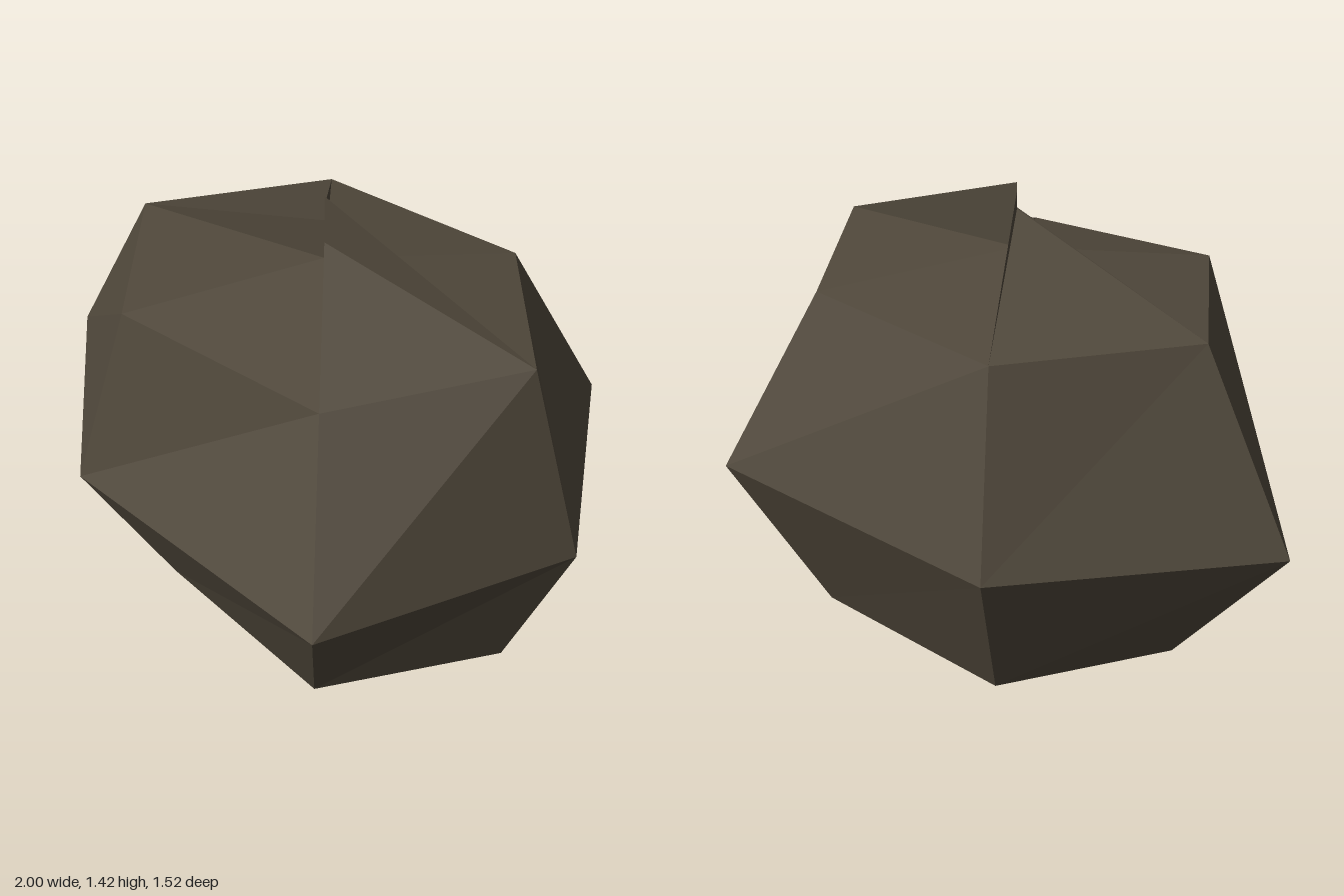
import * as THREE from 'three';

// Six-sided cross-sections, listed from -x round through +z, +x and -z
const UPPER = [[-0.67, 1.13, 0], [-0.3, 1.125, 0.5], [0.4, 1.07, 0.46], [0.805, 1.138, 0], [0.42, 1.12, -0.5], [-0.3, 1.124, -0.505]];
const MIDDLE = [[-1, 0.545, 0], [-0.4, 0.545, 0.64], [0.61, 0.545, 0.757], [1, 0.545, 0], [0.61, 0.545, -0.76], [-0.435, 0.545, -0.69]];
const LOWER = [[-0.6, 0.015, 0], [-0.24, 0.063, 0.41], [0.41, 0, 0.49], [0.785, 0, 0], [0.425, 0, -0.525], [-0.295, 0, -0.49]];

// Each wedge of the broken crown meets the axis at its own height
const AXIS_X = 0.06;
const CROWN = [1.21, 1.21, 1.264, 1.21, 1.21, 1.335];
const peak = (y) => [AXIS_X, y, 0];

// Upright break faces: [corner index, low end, high end] on the axis
const BREAKS = [[0, 1.21, 1.34], [2, 1.21, 1.264], [3, 1.21, 1.42], [5, 1.21, 1.39]];

function meshFrom(name, triangles, material) {
  const geometry = new THREE.BufferGeometry();
  geometry.setAttribute('position', new THREE.Float32BufferAttribute(triangles.flat(2), 3));
  geometry.computeVertexNormals();
  const mesh = new THREE.Mesh(geometry, material);
  mesh.name = name;
  return mesh;
}

// Facets between two neighbouring cross-sections
function band(top, bottom) {
  return top.flatMap((corner, i) => {
    const n = (i + 1) % top.length;
    return [[top[n], corner, bottom[i]], [top[n], bottom[i], bottom[n]]];
  });
}

export function createModel() {
  const stone = new THREE.MeshStandardMaterial({ color: 0x50483b, flatShading: true, side: THREE.DoubleSide });
  stone.name = 'dark brown stone';

  const rock = new THREE.Group();
  rock.name = 'rock';

  // Sides
  rock.add(meshFrom('upperSides', band(UPPER, MIDDLE), stone));
  rock.add(meshFrom('lowerSides', band(MIDDLE, LOWER), stone));

  // Underside
  const base = LOWER.map((p, i) => [peak(0.005), LOWER[(i + 1) % 6], p]);
  rock.add(meshFrom('underside', base, stone));

  // Stepped crown wedges
  const wedges = UPPER.map((p, i) => [peak(CROWN[i]), p, UPPER[(i + 1) % 6]]);
  rock.add(meshFrom('crownWedges', wedges, stone));

  // Thin upright fins where the crown has split
  const fins = BREAKS.map(([i, low, high]) => [peak(high), peak(low), UPPER[i]]);
  rock.add(meshFrom('breakFaces', fins, stone));

  return rock;
}
